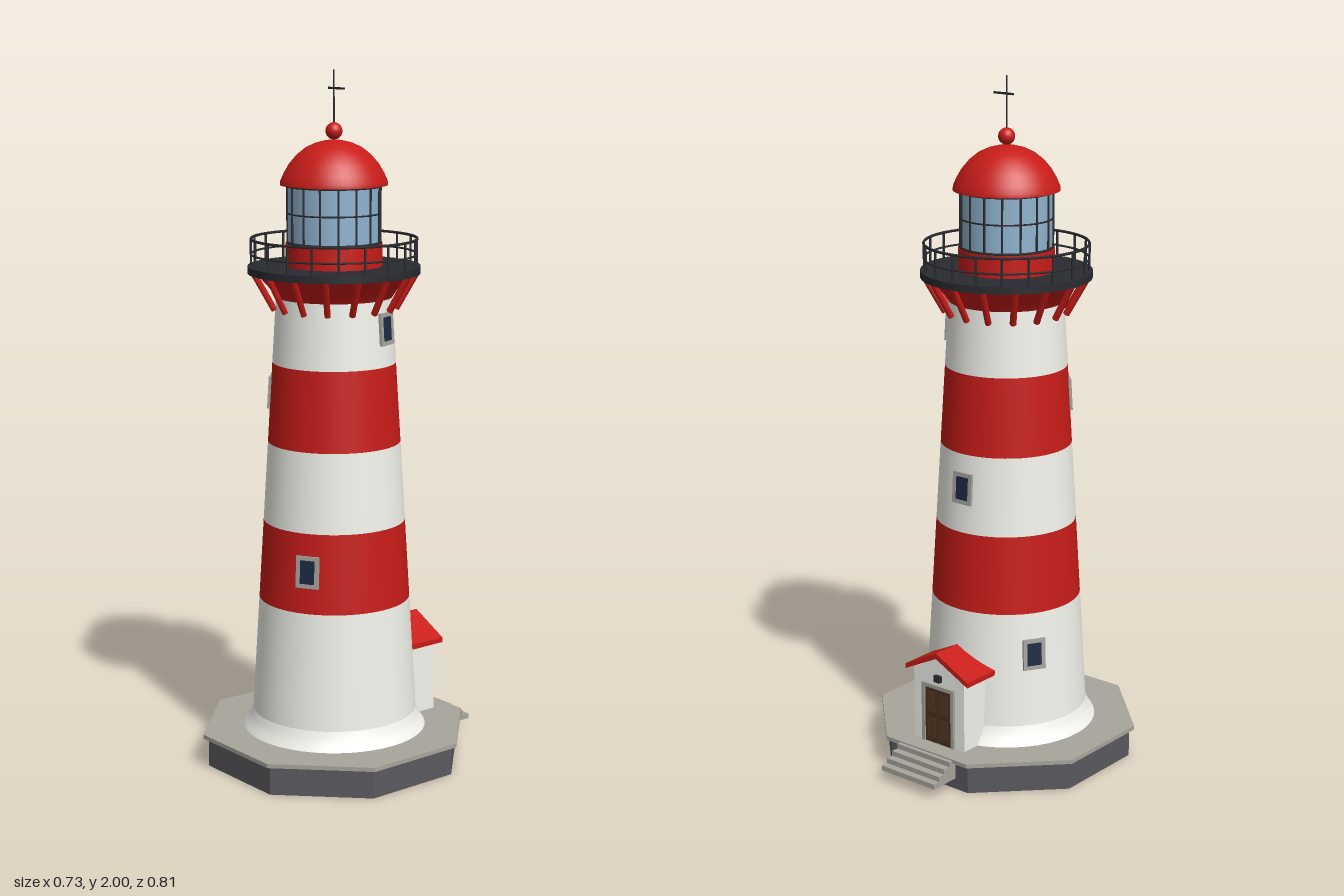
import * as THREE from 'three';

const mat = (color, extra = {}) => new THREE.MeshStandardMaterial({ color, ...extra });
const WHITE = mat(0xf4f4ee), RED = mat(0xc81c18), DARK = mat(0x292b30), STONE = mat(0xa8a59c);
const BASE = mat(0x5a595e, { flatShading: true, side: THREE.DoubleSide }), CAP = mat(0xa8a59c, { flatShading: true });
const GLASS = mat(0x8fb4cf), PANE = mat(0x1c2a44), WOOD = mat(0x4a3220), PANEL = mat(0x543a25), FRAME = mat(0xa6a49e);
const UP = new THREE.Vector3(0, 1, 0);

function add(parent, name, geometry, material, x = 0, y = 0, z = 0) {
  const mesh = new THREE.Mesh(geometry, material);
  mesh.name = name;
  mesh.position.set(x, y, z);
  parent.add(mesh);
  return mesh;
}

const box = (parent, name, w, h, d, material, x, y, z) =>
  add(parent, name, new THREE.BoxGeometry(w, h, d), material, x, y, z);

const lathe = (parent, name, points, material) =>
  add(parent, name, new THREE.LatheGeometry(points.map(p => new THREE.Vector2(...p)), 48), material);

// Point at radius r, height y and angle a (0 = front, growing towards +x)
const polar = (r, y, a) => new THREE.Vector3(r * Math.sin(a), y, r * Math.cos(a));

// Round bar between two points
function bar(parent, name, p, q, r, material) {
  const dir = q.clone().sub(p);
  const mesh = add(parent, name, new THREE.CylinderGeometry(r, r, dir.length(), 6), material);
  mesh.position.copy(p).add(q).multiplyScalar(0.5);
  mesh.quaternion.setFromUnitVectors(UP, dir.normalize());
}

function ring(parent, name, radius, tube, y, material) {
  add(parent, name, new THREE.TorusGeometry(radius, tube, 6, 48), material, 0, y, 0).rotation.x = Math.PI / 2;
}

function octagon(parent, name, apothem, h, y, material, open) {
  const r = apothem / Math.cos(Math.PI / 8);
  add(parent, name, new THREE.CylinderGeometry(r, r, h, 8, 1, open), material, 0, y, 0).rotation.y = Math.PI / 8;
}

// Tower wall radius at a height
const wall = y => 0.24 - 0.061 * (y - 0.14);

function towerWindow(parent, degrees, y) {
  const a = degrees * Math.PI / 180;
  const g = new THREE.Group();
  g.name = 'window';
  g.position.copy(polar(wall(y) - 0.004, y, a));
  g.rotation.set(-0.061, a, 0, 'YXZ');
  for (const s of [-1, 1]) {
    box(g, 'windowJamb', 0.012, 0.092, 0.018, FRAME, s * 0.028, 0, 0);
    box(g, 'windowSill', 0.068, 0.012, 0.018, FRAME, 0, s * 0.04, 0);
  }
  box(g, 'windowPane', 0.046, 0.07, 0.016, PANE, 0, 0, 0);
  parent.add(g);
}

function extrude(parent, name, points, depth, z, material) {
  const shape = new THREE.Shape(points.map(p => new THREE.Vector2(...p)));
  add(parent, name, new THREE.ExtrudeGeometry(shape, { depth, bevelEnabled: false }), material, 0, 0, z);
}

export function createModel() {
  const model = new THREE.Group();
  model.name = 'lighthouse';
  const g = new THREE.Group();
  g.name = 'lighthouseBody';
  g.position.z = 0.04;
  model.add(g);

  // Octagonal plinth, hollow below its cap
  octagon(g, 'plinth', 0.353, 0.085, 0.0425, BASE, true);
  octagon(g, 'plinthCap', 0.367, 0.012, 0.09, CAP, false);

  // Flared foot and striped tower
  lathe(g, 'towerFoot', [[0.268, 0.094], [0.262, 0.104], [0.252, 0.118], [0.245, 0.134], [wall(0.15), 0.15]], WHITE);
  [0.15, 0.488, 0.718, 0.948, 1.178, 1.38].forEach((y, i, ys) => {
    if (i) lathe(g, 'towerBand', [[wall(ys[i - 1]), ys[i - 1]], [wall(y), y]], i % 2 ? WHITE : RED);
  });
  [[-46, 1.088], [30, 0.608], [110, 1.285], [180, 0.848], [240, 0.365]].forEach(([a, y]) => towerWindow(g, a, y));

  // Gallery: corbel, brackets, deck
  lathe(g, 'galleryCorbel', [[0.165, 1.365], [0.178, 1.385], [0.222, 1.434]], RED);
  for (let i = 0; i < 16; i++) {
    const a = i / 16 * Math.PI * 2;
    bar(g, 'galleryBracket', polar(0.176, 1.333, a), polar(0.234, 1.436, a), 0.0095, RED);
  }
  add(g, 'galleryDeck', new THREE.CylinderGeometry(0.2455, 0.2455, 0.021, 48), DARK, 0, 1.443, 0);

  // Railing
  for (let i = 0; i < 20; i++) {
    const a = i / 20 * Math.PI * 2;
    bar(g, 'railingPost', polar(0.235, 1.45, a), polar(0.235, 1.53, a), 0.0035, DARK);
  }
  ring(g, 'topRail', 0.235, 0.004, 1.53, DARK);
  ring(g, 'middleRail', 0.235, 0.003, 1.487, DARK);

  // Lantern room
  add(g, 'lanternDrum', new THREE.CylinderGeometry(0.137, 0.137, 0.065, 48), RED, 0, 1.485, 0);
  add(g, 'lanternGlass', new THREE.CylinderGeometry(0.13, 0.13, 0.165, 32), GLASS, 0, 1.6, 0);
  for (let i = 0; i < 16; i++) {
    const a = (i + 0.5) / 16 * Math.PI * 2;
    bar(g, 'lanternMullion', polar(0.132, 1.515, a), polar(0.132, 1.682, a), 0.0032, DARK);
  }
  ring(g, 'lanternBottomRing', 0.132, 0.004, 1.52, DARK);
  ring(g, 'lanternMiddleRing', 0.131, 0.0025, 1.602, DARK);
  ring(g, 'lanternTopRing', 0.132, 0.004, 1.679, DARK);

  // Dome, ball and vane
  lathe(g, 'domeUnderside', [[0, 1.681], [0.152, 1.681]], RED);
  lathe(g, 'dome', [[0.152, 1.681], [0.151, 1.692], [0.142, 1.713], [0.127, 1.739], [0.106, 1.764],
    [0.08, 1.785], [0.052, 1.798], [0.024, 1.805], [0, 1.807]], RED);
  add(g, 'domeBall', new THREE.SphereGeometry(0.024, 24, 16), RED, 0, 1.831, 0);
  bar(g, 'spire', new THREE.Vector3(0, 1.85, 0), new THREE.Vector3(0, 2, 0), 0.0025, DARK);
  box(g, 'vane', 0.07, 0.006, 0.003, DARK, 0.011, 1.949, 0);

  // Entrance porch at the back
  extrude(g, 'porch', [[-0.095, 0.09], [0.095, 0.09], [0.095, 0.312], [0, 0.364], [-0.095, 0.312]], 0.13, -0.307, WHITE);
  extrude(g, 'porchRoof', [[-0.118, 0.305], [0, 0.364], [0.118, 0.305], [0.118, 0.32], [0, 0.381], [-0.118, 0.32]],
    0.14, -0.32, RED);
  for (const s of [-1, 1]) {
    box(g, 'doorLeaf', 0.047, 0.17, 0.008, WOOD, s * 0.0245, 0.181, -0.308);
    for (const y of [0.142, 0.222]) box(g, 'doorPanel', 0.028, 0.06, 0.004, PANEL, s * 0.0245, y, -0.312);
    box(g, 'doorJamb', 0.011, 0.18, 0.014, FRAME, s * 0.0545, 0.186, -0.308);
  }
  box(g, 'doorLintel', 0.12, 0.011, 0.014, FRAME, 0, 0.272, -0.308);
  box(g, 'porchLamp', 0.022, 0.02, 0.014, DARK, 0, 0.3, -0.312);

  // Steps
  for (let i = 0; i < 4; i++) {
    const top = 0.092 - i * 0.015, depth = i ? 0.025 : 0.036;
    box(g, 'step', 0.2, top - 0.032, depth, STONE, 0, (top + 0.032) / 2, -0.3795 - i * 0.0225 + depth / 2);
  }
  return model;
}
